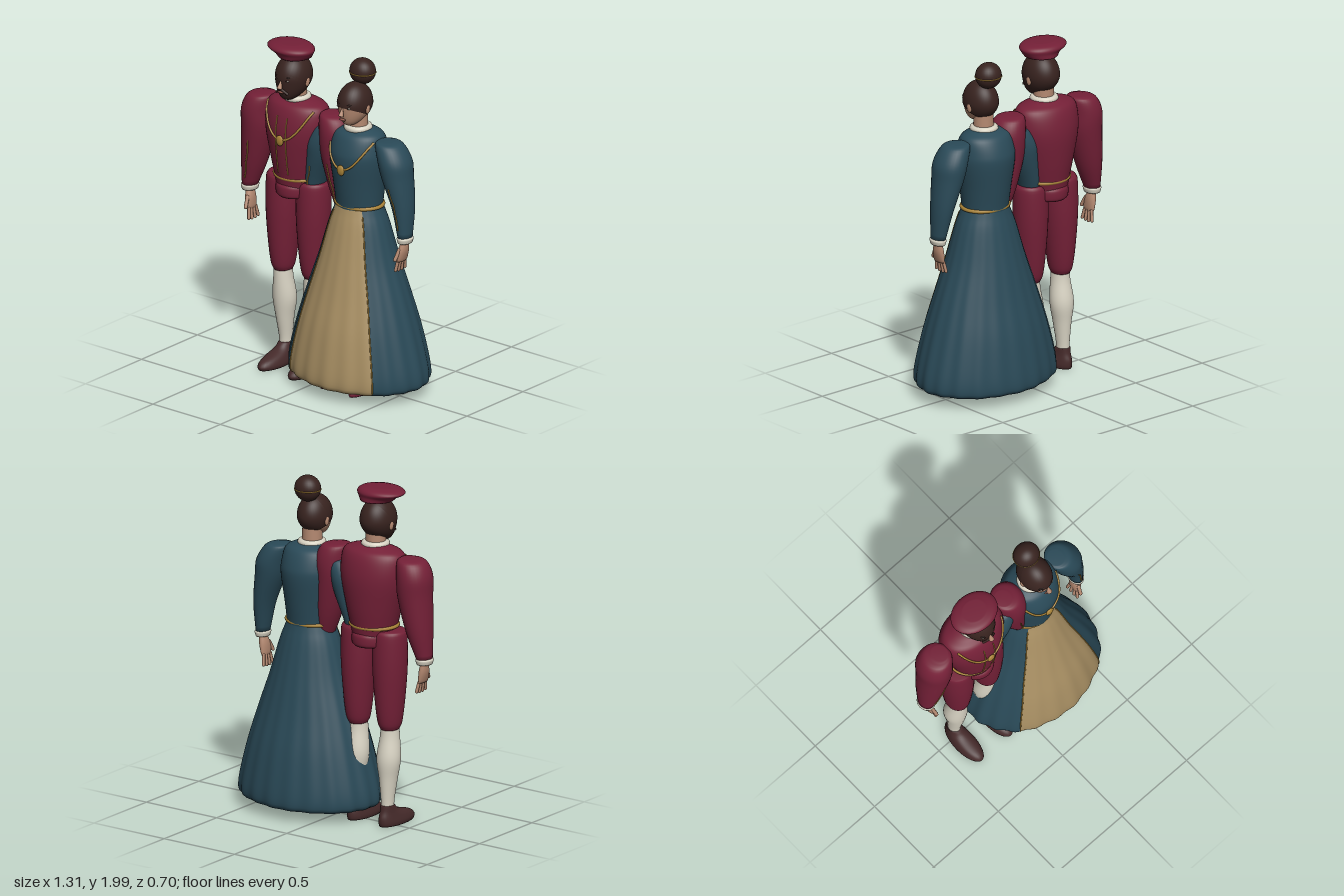
import * as THREE from 'three';

const mat = (name, color, side = THREE.FrontSide) => {
  const m = new THREE.MeshStandardMaterial({ color, side });
  m.name = name;
  return m;
};
const M = {
  burgundy: mat('burgundy cloth', 0x742037),
  teal: mat('teal cloth', 0x2a4a58),
  tan: mat('tan panel', 0xa88f63),
  cream: mat('cream linen', 0xd9d4c4),
  skin: mat('skin', 0xb38870),
  hair: mat('dark hair', 0x38231f, THREE.DoubleSide),
  gold: mat('gold trim', 0xa98338),
  shoe: mat('brown leather', 0x452a2a),
  lips: mat('lips', 0x8f5a4c),
  white: mat('eye white', 0xc9bfb2),
};

function add(parent, name, geo, material, x = 0, y = 0, z = 0) {
  const m = new THREE.Mesh(geo, material);
  m.name = name;
  m.position.set(x, y, z);
  parent.add(m);
  return m;
}
const ball = (rx, ry, rz, seg = 20) => new THREE.SphereGeometry(1, seg, Math.ceil(seg * 0.7)).scale(rx, ry, rz);
const V = (x, y, z) => new THREE.Vector3(x, y, z);
const tube = (pts, r, n = 32) => new THREE.TubeGeometry(new THREE.CatmullRomCurve3(pts), n, r, 6);

// Smooth list of rings [x, y, z, rx, rz] through a few given rings, top to bottom
function smooth(rings, sub = 5) {
  const c = new THREE.CatmullRomCurve3(rings.map(r => V(r[0], r[1], r[2])), false, 'catmullrom');
  const s = new THREE.CatmullRomCurve3(rings.map(r => V(r[3], r[4], 0)), false, 'catmullrom');
  const n = (rings.length - 1) * sub, out = [];
  for (let i = 0; i <= n; i++) {
    const p = c.getPoint(i / n), q = s.getPoint(i / n);
    out.push([p.x, p.y, p.z, Math.max(q.x, 0), Math.max(q.y, 0)]);
  }
  return out;
}
const capped = r => [[...r[0].slice(0, 3), 0, 0], ...r, [...r[r.length - 1].slice(0, 3), 0, 0]];
const radius = (a, t, wave) => 1 + wave * t * (Math.sin(21 * a) + 0.5 * Math.sin(8 * a + 1));

// Surface over rings, for angles a0..a1 measured from the front towards +x
function loft(rings, { seg = 32, a0 = 0, a1 = Math.PI * 2, wave = 0 } = {}) {
  const full = a1 - a0 > 6.28, cols = full ? seg : seg + 1, pos = [], idx = [];
  rings.forEach(([x, y, z, rx, rz], i) => {
    for (let j = 0; j < cols; j++) {
      const a = a0 + (a1 - a0) * j / seg, k = radius(a, i / (rings.length - 1), wave);
      pos.push(x + rx * k * Math.sin(a), y, z + rz * k * Math.cos(a));
    }
    if (i) for (let j = 0; j < seg; j++) {
      const t = (i - 1) * cols, b = i * cols, n = (j + 1) % cols;
      idx.push(t + j, b + j, b + n, t + j, b + n, t + n);
    }
  });
  const g = new THREE.BufferGeometry();
  g.setAttribute('position', new THREE.Float32BufferAttribute(pos, 3));
  g.setIndex(idx);
  g.computeVertexNormals();
  return g;
}
const solid = (rings, opt) => loft(capped(smooth(rings)), opt);

// Front depth of a ring surface at x, y
function frontZ(rings, x, y) {
  let i = 1;
  while (i < rings.length - 1 && rings[i][1] > y) i++;
  const a = rings[i - 1], b = rings[i], t = THREE.MathUtils.clamp((a[1] - y) / (a[1] - b[1]), 0, 1);
  const [cx, , cz, rx, rz] = a.map((v, k) => v + (b[k] - v) * t);
  return cz + rz * Math.sqrt(Math.max(0, 1 - ((x - cx) / rx) ** 2));
}

// Part of a head: ellipsoid zone tilted back, narrowed and pushed forward at the jaw
function headGeo(size, grow, start, length, tilt) {
  const g = new THREE.SphereGeometry(1, 36, 24, 0, Math.PI * 2, start, length).rotateX(tilt);
  const p = g.attributes.position;
  for (let i = 0; i < p.count; i++) {
    const d = Math.max(0, -p.getY(i));
    p.setX(i, p.getX(i) * (1 - 0.12 * d));
    p.setZ(i, p.getZ(i) * (1 - 0.08 * d) + 0.42 * d * d);
  }
  g.scale(size[0] + grow, size[1] + grow, size[2] + grow);
  g.computeVertexNormals();
  return g;
}

function makeHead(y, size, bearded) {
  const h = new THREE.Group();
  h.name = 'head';
  h.position.set(0, y, 0.04);
  const [rx, ry, rz] = size;
  add(h, 'face', headGeo(size, 0, 0, Math.PI, 0), M.skin);
  const cap = bearded ? [1.85, -0.58] : [1.92, -0.36];
  add(h, 'hair', headGeo(size, 0.005, 0, ...cap), M.hair);
  add(h, 'nose', new THREE.ConeGeometry(0.017, 0.06, 10).rotateX(-0.3), M.skin, 0, -0.018, rz + 0.006);
  add(h, 'noseTip', ball(0.014, 0.011, 0.015), M.skin, 0, -0.04, rz + 0.012);
  add(h, 'lips', ball(0.024, 0.008, 0.008), M.lips, 0, -0.071, rz + 0.001);
  for (const s of [-1, 1]) {
    add(h, 'ear', ball(0.01, 0.028, 0.018), M.skin, s * rx * 0.99, -0.02, -0.005);
    add(h, 'eye', ball(0.014, 0.006, 0.005), M.white, s * 0.036, 0.002, rz * 0.925);
    add(h, 'pupil', ball(0.005, 0.005, 0.004), M.hair, s * 0.036, 0.002, rz * 0.925 + 0.004);
    const brow = add(h, 'eyebrow', ball(0.021, 0.004, 0.006), M.hair, s * 0.037, 0.022, rz * 0.91);
    brow.rotation.set(0, s * 0.35, -s * 0.12);
  }
  if (bearded) {
    add(h, 'beard', headGeo(size, 0.005, Math.PI - 1.45, 1.45, -0.5), M.hair);
    add(h, 'moustache', tube([V(-0.042, -0.082, rz - 0.012), V(0, -0.054, rz + 0.004), V(0.042, -0.082, rz - 0.012)], 0.008, 12), M.hair);
  }
  return h;
}

// Arm on the +x side, with cuff, hand and gold sleeve braid
function makeArm(rings, cloth) {
  const arm = new THREE.Group();
  arm.name = 'arm';
  add(arm, 'sleeve', solid(rings), cloth);
  const [x, y, z, rx, rz] = rings[rings.length - 1];
  add(arm, 'cuff', solid([[x, y + 0.01, z, rx, rz], [x, y, z, rx + 0.007, rz + 0.006], [x, y - 0.025, z, rx, rz]]), M.cream);
  const hand = new THREE.Group();
  hand.name = 'hand';
  hand.position.set(x, y - 0.02, z);
  hand.rotation.z = -0.15;
  add(hand, 'palm', solid([[0, 0, 0, 0.02, 0.026], [0, -0.05, 0.005, 0.024, 0.04], [0, -0.1, 0.008, 0.018, 0.044], [0, -0.12, 0.008, 0.012, 0.04]]), M.skin);
  for (let i = 0; i < 4; i++) {
    const f = add(hand, 'finger', new THREE.CapsuleGeometry(0.0095, 0.07 - 0.008 * Math.abs(i - 1.5), 4, 8), M.skin, -0.005, -0.145, -0.029 + i * 0.024);
    f.rotation.x = (1.5 - i) * 0.13;
  }
  const thumb = add(hand, 'thumb', new THREE.CapsuleGeometry(0.011, 0.06, 4, 8), M.skin, -0.006, -0.075, 0.052);
  thumb.rotation.x = -0.45;
  arm.add(hand);
  const list = smooth(rings), pts = [];
  for (let k = 0; k <= 5; k++) {
    const h = y + 0.06 + k * 0.05, r = list.find(q => q[1] <= h && q[3] > 0);
    pts.push(V(r[0] - 0.1 * r[3], h, frontZ(list, r[0] - 0.1 * r[3], h) + 0.001));
  }
  add(arm, 'sleeveBraid', tube(pts, 0.004), M.gold);
  return arm;
}

// Upper body shared by both figures
function makeFigure({ name, x, cloth, torso, arm, chain, neckY, head, belt }) {
  const f = new THREE.Group();
  f.name = name;
  f.position.x = x;
  add(f, 'torso', solid(torso, { seg: 48 }), cloth);
  for (const s of [1, -1]) {
    const side = new THREE.Group();
    side.name = s > 0 ? 'leftArm' : 'rightArm';
    const a = makeArm(arm, cloth);
    side.add(a);
    side.scale.x = s;
    f.add(side);
  }
  add(f, 'neck', new THREE.CylinderGeometry(0.056, 0.062, 0.2, 24), M.skin, 0, neckY + 0.02, 0.015);
  add(f, 'collar', new THREE.TorusGeometry(0.063, 0.02, 10, 32).rotateX(Math.PI / 2), M.cream, 0, neckY, 0.012);
  f.add(makeHead(...head));
  // Chain hanging over the chest, with pendant
  const list = smooth(torso), pts = [];
  for (let i = -12; i <= 12; i++) {
    const s = i / 12, px = s * chain.w, py = chain.y + chain.h * Math.abs(s) ** 2.2;
    pts.push(V(px, py, frontZ(list, px, py) + 0.003));
  }
  add(f, 'chain', tube(pts, 0.007, 60), M.gold);
  add(f, 'pendant', ball(0.026, 0.032, 0.012), M.gold, 0, chain.y - 0.005, frontZ(list, 0, chain.y) + 0.006);
  add(f, 'belt', new THREE.TorusGeometry(1, 0.08, 8, 48).rotateX(Math.PI / 2).scale(belt.rx, 0.14, belt.rz), M.gold, 0, belt.y, 0);
  return { f, list };
}

function makeMan() {
  const { f, list } = makeFigure({
    name: 'man', x: -0.25, cloth: M.burgundy, neckY: 1.66,
    torso: [[0, 1.665, 0, 0.06, 0.05], [0, 1.648, 0, 0.13, 0.085], [0, 1.62, 0, 0.19, 0.125], [0, 1.55, 0, 0.208, 0.152],
      [0, 1.45, 0, 0.203, 0.163], [0, 1.3, 0, 0.168, 0.152], [0, 1.18, 0, 0.138, 0.135], [0, 1.1, 0, 0.12, 0.125]],
    arm: [[0.245, 1.62, 0, 0.045, 0.05], [0.268, 1.6, 0, 0.085, 0.09], [0.288, 1.52, 0, 0.102, 0.112], [0.292, 1.4, 0, 0.1, 0.108],
      [0.322, 1.2, 0, 0.077, 0.085], [0.355, 1.03, 0.005, 0.043, 0.052]],
    chain: { w: 0.168, y: 1.435, h: 0.18 }, head: [1.795, [0.096, 0.128, 0.116], true], belt: { rx: 0.142, rz: 0.128, y: 1.185 },
  });
  // Gold piping down the doublet
  for (const s of [-1, 1]) {
    const pts = [1.57, 1.5, 1.4, 1.3, 1.22].map(y => V(s * 0.036, y, frontZ(list, s * 0.036, y) + 0.001));
    add(f, 'piping', tube(pts, 0.004), M.gold);
  }
  add(f, 'waistRoll', solid([[0, 1.147, 0, 0.108, 0.13], [0, 1.13, 0, 0.119, 0.143], [0, 1.085, 0, 0.119, 0.143], [0, 1.068, 0, 0.108, 0.13]], { seg: 48 }), M.burgundy);
  for (const s of [-1, 1]) {
    const c = s * 0.112;
    add(f, 'breeches', solid([[c, 1.168, 0, 0.088, 0.085], [c, 1.13, 0, 0.1, 0.1], [c, 0.95, 0, 0.1, 0.105], [c, 0.75, 0, 0.084, 0.094],
      [c, 0.62, 0, 0.068, 0.078], [c, 0.575, 0, 0.052, 0.06]]), M.burgundy);
    add(f, 'stocking', solid([[c, 0.62, 0, 0.05, 0.055], [c, 0.53, 0, 0.056, 0.06], [c, 0.4, -0.012, 0.07, 0.07], [c, 0.28, -0.015, 0.052, 0.058],
      [c, 0.15, -0.022, 0.037, 0.042], [c, 0.08, -0.022, 0.037, 0.042]]), M.cream);
    add(f, 'shoe', solid([[c, 0.125, -0.025, 0.038, 0.045], [c, 0.09, -0.005, 0.044, 0.07], [c, 0.055, 0.045, 0.056, 0.132],
      [c, 0.025, 0.062, 0.063, 0.15], [c, 0.003, 0.062, 0.06, 0.145]]), M.shoe);
  }
  // Flat cap, sitting slightly to one side
  const cap = solid([[0.005, 1.915, 0.035, 0.097, 0.1], [0, 1.94, 0.04, 0.12, 0.105], [-0.018, 1.965, 0.044, 0.149, 0.116],
    [-0.018, 1.985, 0.044, 0.125, 0.1], [-0.018, 1.996, 0.044, 0.07, 0.06]].reverse(), { seg: 48 });
  add(f, 'cap', cap, M.burgundy);
  return f;
}

function makeWoman() {
  const { f } = makeFigure({
    name: 'woman', x: 0.203, cloth: M.teal, neckY: 1.585,
    torso: [[0, 1.59, 0, 0.06, 0.05], [0, 1.575, 0, 0.11, 0.085], [0, 1.545, 0, 0.155, 0.125], [0, 1.47, 0, 0.172, 0.158],
      [0, 1.4, 0, 0.174, 0.166], [0, 1.25, 0, 0.152, 0.148], [0, 1.13, 0, 0.14, 0.132], [0, 1.08, 0, 0.14, 0.13]],
    arm: [[0.2, 1.543, 0, 0.045, 0.05], [0.222, 1.525, 0, 0.08, 0.085], [0.262, 1.44, 0, 0.095, 0.108], [0.283, 1.34, 0, 0.087, 0.102],
      [0.325, 1.17, 0, 0.06, 0.078], [0.347, 0.985, 0.01, 0.036, 0.05]],
    chain: { w: 0.15, y: 1.365, h: 0.165 }, head: [1.738, [0.09, 0.122, 0.112], false], belt: { rx: 0.146, rz: 0.122, y: 1.122 },
  });
  // Skirt with pleats deepening to the hem and a contrasting front panel
  const rings = smooth([[0, 1.12, 0, 0.138, 0.128], [0, 1.08, 0, 0.155, 0.138], [0, 1, 0, 0.187, 0.16], [0, 0.8, 0, 0.247, 0.207], [0, 0.6, 0, 0.318, 0.255],
    [0, 0.4, 0, 0.382, 0.305], [0, 0.2, 0, 0.434, 0.338], [0, 0.1, 0, 0.444, 0.344], [0, 0.07, 0, 0.42, 0.325]], 4);
  const edge = 0.75, wave = 0.012;
  add(f, 'skirt', loft(rings, { seg: 132, a0: edge, a1: Math.PI * 2 - edge, wave }), M.teal);
  add(f, 'frontPanel', loft(rings, { seg: 44, a0: -edge, a1: edge, wave }), M.tan);
  const hem = rings[rings.length - 1];
  add(f, 'skirtUnderside', loft([hem, [0, 0.075, 0, 0.36, 0.27], [0, 0.085, 0, 0, 0]], { seg: 96 }), M.teal);
  for (const s of [-1, 1]) {
    const pts = rings.slice(4, -2).map(([x, y, z, rx, rz], i) => {
      const k = radius(s * edge, (i + 4) / (rings.length - 1), wave);
      return V(x + rx * k * Math.sin(s * edge), y, z + rz * k * Math.cos(edge));
    });
    add(f, 'panelBraid', tube(pts, 0.004, 48), M.gold);
    const c = s * 0.106;
    add(f, 'slipper', solid([[c, 0.1, 0.04, 0.03, 0.09], [c, 0.065, 0.05, 0.038, 0.125], [c, 0.03, 0.063, 0.048, 0.152], [c, 0.008, 0.063, 0.045, 0.148]]), M.burgundy);
  }
  // Hair bun with gold band
  add(f, 'bun', ball(0.079, 0.077, 0.073, 28), M.hair, 0, 1.913, -0.028);
  add(f, 'bunBand', new THREE.TorusGeometry(0.077, 0.004, 6, 40).rotateX(Math.PI / 2).scale(1.01, 1, 0.94), M.gold, 0, 1.908, -0.028);
  return f;
}

export function createModel() {
  const g = new THREE.Group();
  g.name = 'couple';
  g.add(makeMan(), makeWoman());
  return g;
}
